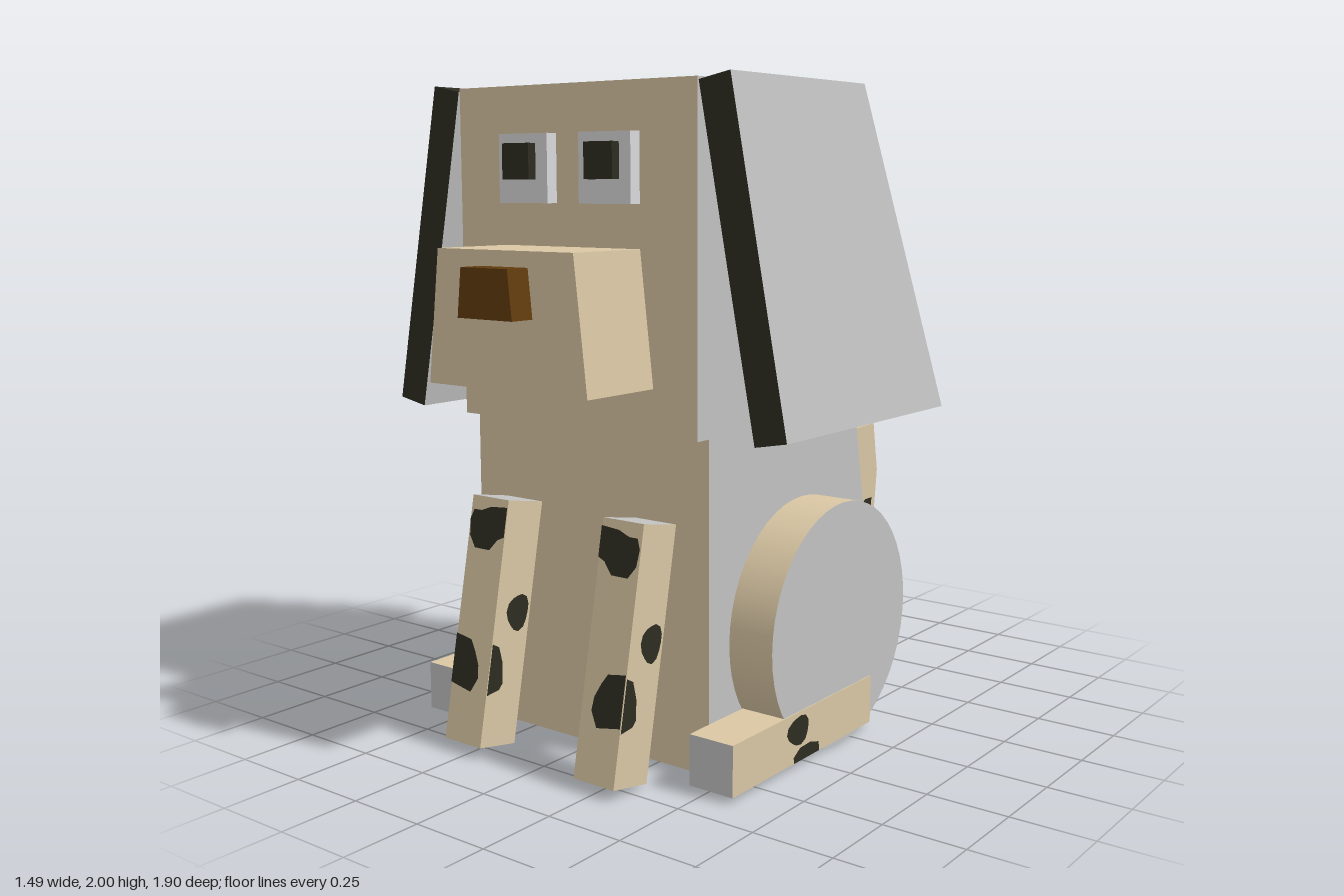
import * as THREE from 'three';

const mat = (name, color) => {
  const m = new THREE.MeshStandardMaterial({ color });
  m.name = name;
  return m;
};

export function createModel() {
  const model = new THREE.Group();
  model.name = 'dog';
  const tan = mat('tan', 0xdac7a4);
  const grey = mat('grey', 0xc2c2c2);
  const white = mat('eyeWhite', 0xdadadd);
  const black = mat('black', 0x2d2d22);
  const brown = mat('brown', 0x623c0e);

  const add = (name, geo, material, x = 0, y = 0, z = 0, parent = model) => {
    const mesh = new THREE.Mesh(geo, material);
    mesh.name = name;
    mesh.position.set(x, y, z);
    parent.add(mesh);
    return mesh;
  };
  const shapeOf = (pts) => new THREE.Shape(pts.map(([a, b]) => new THREE.Vector2(a, b)));

  // Side profile in (z, y), extruded to a width centred on x
  const slab = (pts, width) => new THREE.ExtrudeGeometry(shapeOf(pts), { depth: width, bevelEnabled: false })
    .translate(0, 0, -width / 2).rotateY(-Math.PI / 2);

  // Front trapezoid in (x, y), extruded along z
  const wedge = (top, bottom, y0, y1, depth) => new THREE.ExtrudeGeometry(
    shapeOf([[-bottom, y0], [bottom, y0], [top, y1], [-top, y1]]), { depth, bevelEnabled: false });

  // Irregular round outline for coat spots
  const blob = (u, v, ru, rv) => Array.from({ length: 14 }, (_, i) => {
    const a = (i / 14) * Math.PI * 2;
    const k = 1 + 0.09 * Math.sin(3 * a + 1);
    return [u + ru * k * Math.cos(a), v + rv * k * Math.sin(a)];
  });
  const LIFT = 0.003;
  // Spot on a face looking along z (outline in x, y)
  const spotZ = (parent, pts, side, x, y, z) => {
    const m = add('coatSpot', new THREE.ShapeGeometry(shapeOf(pts)), black, x, y, z + side * LIFT, parent);
    if (side < 0) m.rotation.y = Math.PI;
    return m;
  };
  // Spot on a face looking along x (outline in z, y)
  const spotX = (parent, pts, side, x, y, z) => {
    const geo = new THREE.ShapeGeometry(shapeOf(pts.map(([w, v]) => [-side * w, v])));
    const m = add('coatSpot', geo, black, x + side * LIFT, y, z, parent);
    m.rotation.y = side * Math.PI / 2;
    return m;
  };

  // Body and head: grey flanks, tan elsewhere
  add('body', slab([[0.54, 0.015], [0.54, 1], [-0.245, 1], [-0.425, 0.015]], 0.9), [grey, tan]);
  add('head', slab([[0.595, 1], [0.595, 1.99], [-0.09, 1.99], [-0.27, 1]], 0.9), [grey, tan]);

  // Muzzle and nose
  add('muzzle', wedge(0.257, 0.302, 1.135, 1.525, 0.28), tan, -0.007, 0, 0.595);
  add('nose', wedge(0.088, 0.103, 1.34, 1.48, 0.08), brown, -0.003, 0, 0.875);

  // Outlines of the leg spots
  const legTop = [[0.06, 0.33], [0.03, 0.33], [-0.01, 0.345], [-0.074, 0.35], [-0.074, 0.26],
    [-0.05, 0.25], [-0.02, 0.215], [0.04, 0.215], [0.066, 0.25], [0.072, 0.3]];
  const legLow = [[0.074, -0.05], [0.01, -0.06], [-0.01, -0.09], [-0.03, -0.13], [-0.035, -0.17],
    [-0.01, -0.215], [0.074, -0.2]];
  const legEdge = [[0.074, -0.06], [0.045, -0.07], [0.022, -0.12], [0.012, -0.18], [0.025, -0.2], [0.074, -0.215]];

  for (const s of [1, -1]) {
    const side = s > 0 ? 'left' : 'right';

    // Eye
    add(`${side}Eye`, new THREE.BoxGeometry(0.19, 0.2, 0.04), white, s * 0.155, 1.75, 0.615);
    add(`${side}Pupil`, new THREE.BoxGeometry(0.104, 0.104, 0.03), black, s * 0.157, 1.77, 0.65);

    // Hanging ear: grey faces, black rim
    const ear = add(`${side}Ear`,
      slab([[0.595, -0.497], [0.595, 0.497], [-0.09, 0.497], [-0.27, -0.497]], 0.106),
      [grey, black], s * 0.6, 1.503, 0);
    ear.rotation.z = s * 0.19;

    // Haunch
    const haunch = new THREE.CylinderGeometry(0.378, 0.378, 0.15, 48).rotateZ(Math.PI / 2);
    add(`${side}Haunch`, haunch, [tan, grey, grey], s * 0.525, 0.381, 0.063);

    // Hind foot
    const foot = add(`${side}HindFoot`, new THREE.BoxGeometry(0.15, 0.152, 0.745),
      [tan, tan, tan, tan, grey, grey], s * 0.528, 0.096, 0.263);
    spotX(foot, blob(0.045, 0.022, 0.057, 0.044), s, s * 0.075, 0, 0);
    spotX(foot, [[-0.07, -0.074], [-0.065, -0.045], [-0.02, -0.032], [0.035, -0.034], [0.07, -0.055], [0.068, -0.074]],
      s, s * 0.075, 0, 0);
    const sole = add('coatSpot', new THREE.ShapeGeometry(shapeOf(blob(0, 0, 0.055, 0.06))), black,
      0, -0.076 - LIFT, 0.28, foot);
    sole.rotation.x = Math.PI / 2;

    // Front leg, leaning back at the top
    const leg = add(`${side}FrontLeg`, new THREE.BoxGeometry(0.148, 0.745, 0.148),
      [tan, tan, grey, grey, tan, tan], s * 0.26, 0.39, 0.685);
    leg.rotation.x = -0.19;
    for (const pts of [legTop, legLow]) spotZ(leg, pts.map(([u, v]) => [s * u, v]), 1, 0, 0, 0.074);
    for (const f of [1, -1]) {
      spotX(leg, blob(-0.019, 0.034, 0.046, 0.056), f, f * 0.074, 0, 0);
      spotX(leg, legEdge, f, f * 0.074, 0, 0);
    }
  }

  // Curved square tail
  const outer = [[-0.4, 0.155], [-0.535, 0.168], [-0.69, 0.21], [-0.83, 0.325], [-0.928, 0.485], [-0.947, 0.65], [-0.917, 0.828]];
  const inner = [[-0.77, 0.823], [-0.79, 0.65], [-0.773, 0.505], [-0.72, 0.4], [-0.612, 0.33], [-0.46, 0.3], [-0.35, 0.3]];
  const tail = add('tail', slab([...outer, ...inner], 0.15), tan, 0.055, 0, 0);
  const tailSpot = [[-0.735, 0.32], [-0.79, 0.31], [-0.825, 0.335], [-0.85, 0.4], [-0.9, 0.47], [-0.905, 0.55],
    [-0.86, 0.55], [-0.81, 0.515], [-0.795, 0.47], [-0.775, 0.42], [-0.76, 0.36]];
  for (const f of [1, -1]) spotX(tail, tailSpot, f, f * 0.075, 0, 0);
  const backSpot = spotZ(tail, blob(0.035, 0, 0.032, 0.065), -1, 0, 0.567, -0.938);
  backSpot.rotation.x = 0.115;

  return model;
}
